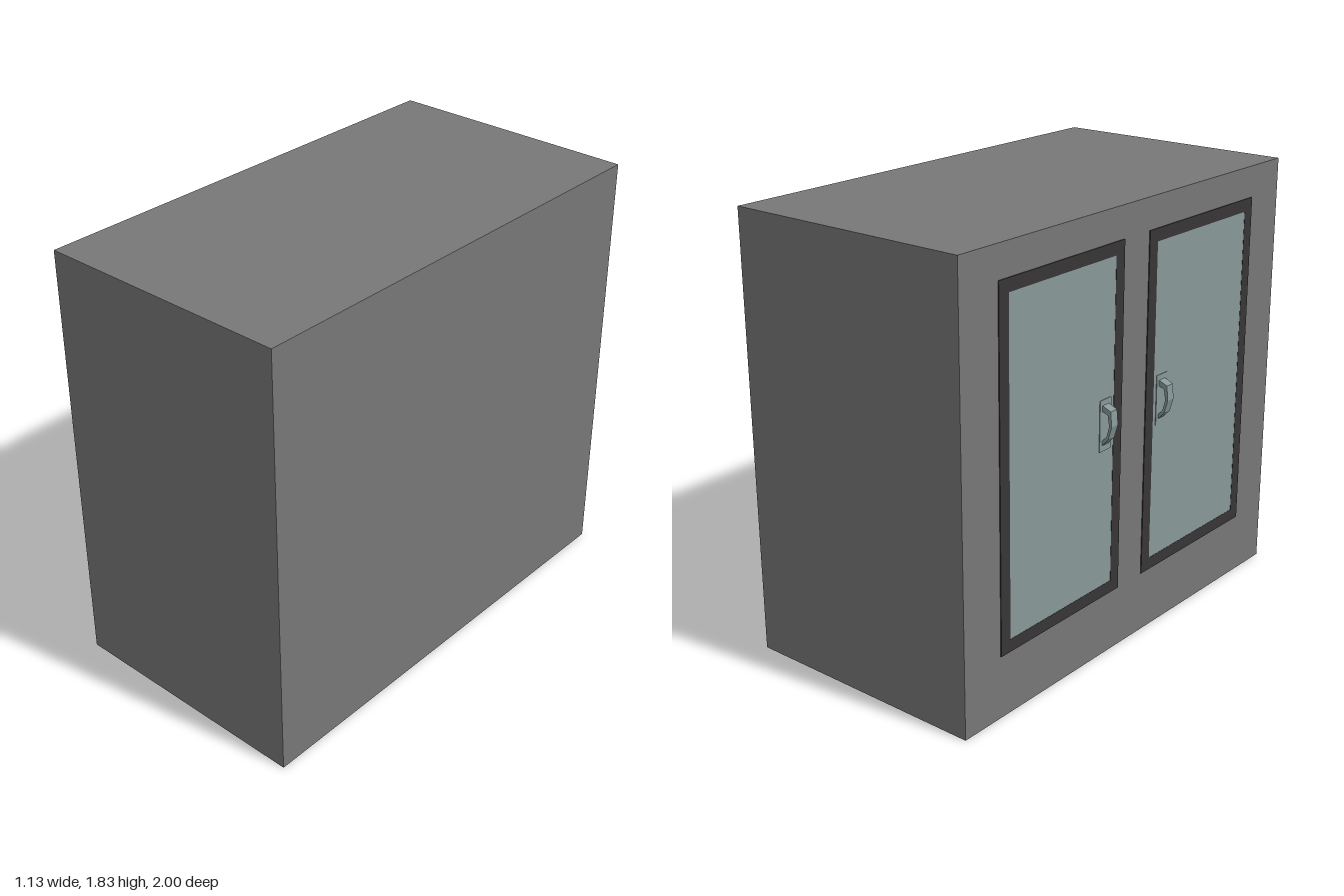
import * as THREE from 'three';

const mat = (name, color) => {
  const m = new THREE.MeshStandardMaterial({ color });
  m.name = name;
  return m;
};

export function createModel() {
  const grey = mat('cabinet grey', 0x777777);
  const dark = mat('frame dark', 0x373535);
  const steel = mat('door steel', 0x879898);
  const root = new THREE.Group();
  root.name = 'cabinet';
  const face = -0.515; // x of the door side

  const add = (parent, name, geometry, material) => {
    const mesh = new THREE.Mesh(geometry, material);
    mesh.name = name;
    parent.add(mesh);
    return mesh;
  };
  // Thin plate standing out of the door side
  const plate = (parent, name, w, h, y, z, out, material) =>
    add(parent, name, new THREE.BoxGeometry(out, h, w), material)
      .position.set(face - out / 2, y, z);

  // Cabinet body
  add(root, 'body', new THREE.BoxGeometry(1.08, 1.83, 2), grey).position.set(0.025, 0.915, 0);

  // Faceted handle loop, drawn in the x-y plane and extruded along z
  const loop = new THREE.Shape([
    [face, 1.08], [-0.559, 1.062], [-0.565, 1.0], [-0.549, 0.945], [face, 0.908],
    [face, 0.928], [-0.541, 0.955], [-0.553, 1.0], [-0.545, 1.045], [face, 1.056],
  ].map(([x, y]) => new THREE.Vector2(x, y)));
  const handleGeo = new THREE.ExtrudeGeometry(loop, { depth: 0.04, bevelEnabled: false });
  handleGeo.translate(0, 0, -0.02);

  // Door frame ring: shape x runs along z after turning to face -x
  const ring = new THREE.Shape();
  ring.moveTo(-0.36, -0.72).lineTo(0.36, -0.72).lineTo(0.36, 0.72).lineTo(-0.36, 0.72).closePath();
  const hole = new THREE.Path();
  hole.moveTo(-0.308, -0.668).lineTo(-0.308, 0.668).lineTo(0.308, 0.668).lineTo(0.308, -0.668).closePath();
  ring.holes.push(hole);
  const frameGeo = new THREE.ExtrudeGeometry(ring, { depth: 0.004, bevelEnabled: false });
  frameGeo.rotateY(-Math.PI / 2);

  // Two doors, mirrored about z = 0
  for (const s of [-1, 1]) {
    const door = new THREE.Group();
    door.name = s < 0 ? 'rearDoor' : 'frontDoor';
    root.add(door);
    add(door, 'doorFrame', frameGeo, dark).position.set(face, 0.98, s * 0.44);
    plate(door, 'doorPanel', 0.616, 1.336, 0.98, s * 0.44, 0.003, steel);
    plate(door, 'handlePlate', 0.07, 0.21, 0.995, s * 0.185, 0.006, steel);
    add(door, 'handle', handleGeo, steel).position.z = s * 0.185;
  }
  return root;
}
